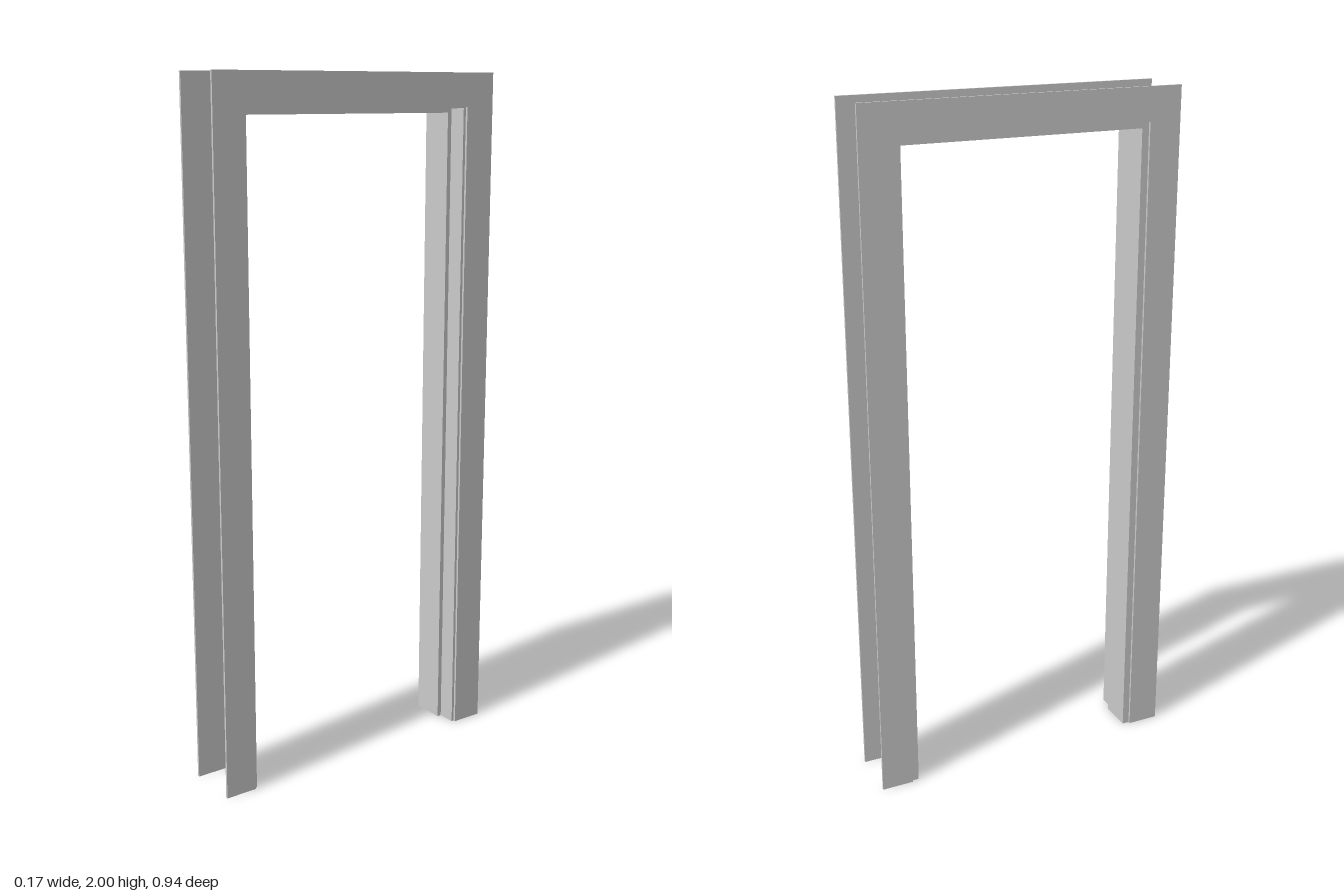
import * as THREE from 'three';

const material = new THREE.MeshStandardMaterial({ color: 0xcccccc });

// Sweeps a counter-clockwise (x, distance from centre) section up one leg,
// across the head with mitred corners, and down the other leg.
function sweepFrame(name, section, headRise) {
  const rings = [
    section.map(([x, d]) => [x, 0, d]),
    section.map(([x, d]) => [x, d + headRise, d]),
    section.map(([x, d]) => [x, d + headRise, -d]),
    section.map(([x, d]) => [x, 0, -d]),
  ];
  const positions = [];
  const tri = (a, b, c) => positions.push(...a, ...b, ...c);
  const n = section.length;
  for (let r = 0; r < 3; r++) {
    for (let i = 0; i < n; i++) {
      const j = (i + 1) % n;
      const a = rings[r][i], b = rings[r][j];
      const c = rings[r + 1][j], d = rings[r + 1][i];
      tri(a, d, c);
      tri(a, c, b);
    }
  }
  // Feet
  const contour = section.map(([x, d]) => new THREE.Vector2(x, d));
  for (const [i, j, k] of THREE.ShapeUtils.triangulateShape(contour, [])) {
    tri(rings[0][i], rings[0][j], rings[0][k]);
    tri(rings[3][i], rings[3][k], rings[3][j]);
  }
  const geometry = new THREE.BufferGeometry();
  geometry.setAttribute('position', new THREE.Float32BufferAttribute(positions, 3));
  geometry.computeVertexNormals();
  const mesh = new THREE.Mesh(geometry, material);
  mesh.name = name;
  return mesh;
}

export function createModel() {
  const group = new THREE.Group();
  group.name = 'doorFrame';

  // Jamb lining: raised door stop inside, shallow relief groove on the back
  const jamb = [
    [-0.076, 0.353], [0.022, 0.353], [0.022, 0.366], [0.076, 0.366],
    [0.076, 0.38], [0.022, 0.38], [0.022, 0.377], [-0.017, 0.377],
    [-0.017, 0.378], [-0.035, 0.378], [-0.035, 0.38], [-0.072, 0.38],
    [-0.072, 0.377], [-0.076, 0.377],
  ];
  group.add(sweepFrame('jamb', jamb, 1.535));

  // Flat casings on both faces of the wall
  for (const [name, x0, x1] of [['leftCasing', 0.076, 0.083], ['rightCasing', -0.083, -0.076]]) {
    const casing = [[x0, 0.374], [x1, 0.374], [x1, 0.469], [x0, 0.469]];
    group.add(sweepFrame(name, casing, 1.531));
  }
  return group;
}
